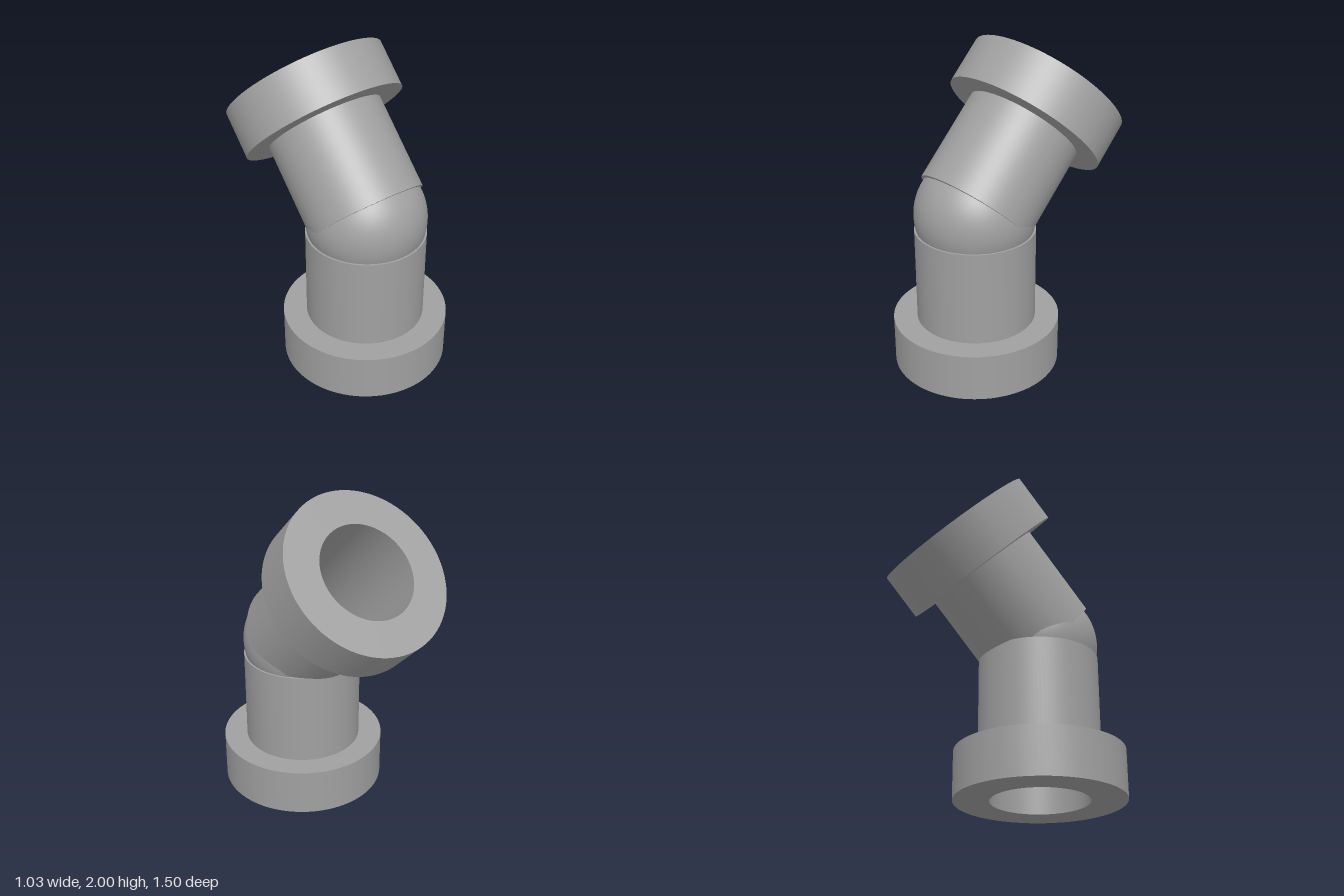
import * as THREE from 'three';
import { toCreasedNormals } from 'three/addons/utils/BufferGeometryUtils.js';
import { ParametricGeometry } from 'three/addons/geometries/ParametricGeometry.js';

const R = 0.367, BORE = 0.297, FLANGE_R = 0.513, FLANGE_H = 0.295, LENGTH = 0.885;
const AXIS_Z = 0.236;

// Hollow flanged pipe standing on its flange; trim shortens the +z side of the open end
function pipeGeometry(trim) {
  const profile = [
    [BORE, 0], [FLANGE_R, 0], [FLANGE_R, FLANGE_H], [R, FLANGE_H],
    [R, LENGTH], [BORE, LENGTH], [BORE, 0],
  ].map(([r, y]) => new THREE.Vector2(r, y));
  const geo = new THREE.LatheGeometry(profile, 96);
  const p = geo.attributes.position;
  for (let i = 0; i < p.count; i++) {
    if (p.getY(i) > LENGTH - 0.001) p.setY(i, LENGTH - trim * Math.max(0, p.getZ(i)));
  }
  return toCreasedNormals(geo, 0.6);
}

// Spherical skin between the rim of the lower pipe and the tilted rim of the upper pipe
function elbowGeometry() {
  const low = new THREE.Vector3(), high = new THREE.Vector3();
  const xAxis = new THREE.Vector3(1, 0, 0);
  const ring = (v, angle, y) => {
    const r = Math.sqrt(R * R - y * y);
    return v.set(r * Math.sin(angle), y, r * Math.cos(angle));
  };
  return new ParametricGeometry((u, v, target) => {
    const angle = u * Math.PI * 2;
    ring(low, angle, -0.1);
    ring(high, angle, 0.1).applyAxisAngle(xAxis, -Math.PI / 4);
    if (high.y < low.y) high.copy(low);
    target.lerpVectors(low, high, v).setLength(R);
  }, 96, 24);
}

export function createModel() {
  const model = new THREE.Group();
  model.name = 'angledPipeFitting';
  const grey = new THREE.MeshStandardMaterial({ color: 0xa0a0a0, side: THREE.DoubleSide });
  grey.name = 'grey';

  const add = (name, geo, y, z, tilt = 0) => {
    const mesh = new THREE.Mesh(geo, grey);
    mesh.name = name;
    mesh.position.set(0, y, z);
    mesh.rotation.x = tilt;
    model.add(mesh);
  };

  add('lowerFlangedPipe', pipeGeometry(0), 0, AXIS_Z);
  add('elbow', elbowGeometry(), 0.977, AXIS_Z);
  // Upper pipe hangs from its flange, leaning back 45 degrees
  add('upperFlangedPipe', pipeGeometry(0.25), 1.637, -0.385, Math.PI * 0.75);
  return model;
}
